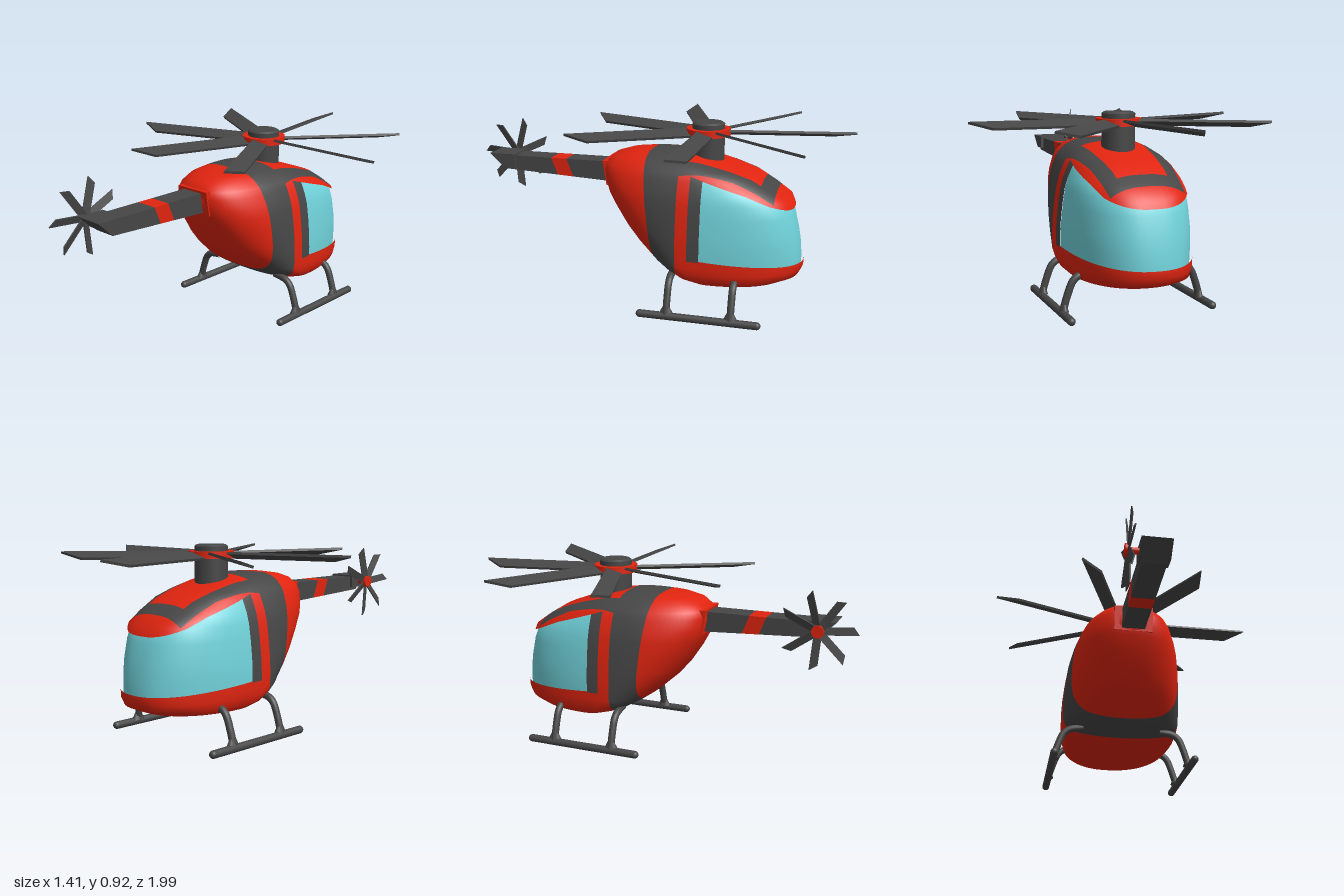
import * as THREE from 'three';

const mat = (name, color, side = THREE.FrontSide) => {
  const m = new THREE.MeshStandardMaterial({ color, side });
  m.name = name;
  return m;
};

// Horizontal slices of the cabin: y, nose z, rear z, half width, z of widest point, squareness
const SLICES = [
  [0.155, -0.44, -0.44, 0, -0.44, 2.2],
  [0.156, -0.62, -0.26, 0.22, -0.4, 2.2],
  [0.166, -0.70, -0.20, 0.265, -0.34, 2.2],
  [0.19, -0.757, -0.14, 0.29, -0.28, 2.3],
  [0.225, -0.775, -0.08, 0.302, -0.24, 2.3],
  [0.26, -0.777, -0.03, 0.307, -0.22, 2.3],
  [0.34, -0.77, 0.06, 0.307, -0.22, 2.4],
  [0.41, -0.757, 0.12, 0.303, -0.22, 2.5],
  [0.5, -0.735, 0.18, 0.293, -0.22, 2.6],
  [0.57, -0.705, 0.218, 0.282, -0.22, 2.7],
  [0.62, -0.635, 0.235, 0.268, -0.21, 2.7],
  [0.675, -0.545, 0.245, 0.245, -0.2, 2.7],
  [0.71, -0.45, 0.235, 0.225, -0.17, 2.6],
  [0.745, -0.34, 0.20, 0.185, -0.12, 2.5],
  [0.765, -0.26, 0.14, 0.145, -0.09, 2.4],
  [0.777, -0.19, 0.06, 0.10, -0.08, 2.2],
  [0.78, -0.08, -0.08, 0, -0.08, 2.2],
];

// Cabin skin as triangles whose corners are [x, y, z, nx, ny, nz]
function cabinTriangles(seg = 64) {
  const pos = [], idx = [], rows = SLICES.length;
  const pw = (v, n) => Math.sign(v) * Math.abs(v) ** (2 / n);
  for (const [y, zf, zb, w, zm, n] of SLICES)
    for (let i = 0; i < seg; i++) {
      const a = (i / seg) * Math.PI * 2, s = pw(Math.sin(a), n);
      pos.push(w * pw(Math.cos(a), n), y, zm + s * (s > 0 ? zb - zm : zm - zf));
    }
  for (let j = 0; j < rows - 1; j++)
    for (let i = 0; i < seg; i++) {
      const k = (i + 1) % seg, a = j * seg + i, b = a + seg, d = j * seg + k, c = d + seg;
      if (j < rows - 2) idx.push(a, b, c);
      if (j > 0) idx.push(a, c, d);
    }
  const g = new THREE.BufferGeometry();
  g.setAttribute('position', new THREE.Float32BufferAttribute(pos, 3));
  g.setIndex(idx);
  g.computeVertexNormals();
  const nor = g.attributes.normal;
  for (let i = 0; i < seg; i++) {
    nor.setXYZ(i, 0, -1, 0);
    nor.setXYZ((rows - 1) * seg + i, 0, 1, 0);
  }
  const vert = (i) => [...pos.slice(i * 3, i * 3 + 3), nor.getX(i), nor.getY(i), nor.getZ(i)];
  const tris = [];
  for (let i = 0; i < idx.length; i += 3) tris.push(idx.slice(i, i + 3).map(vert));
  return tris;
}

// Cut a polygon where f changes sign
function cut(poly, f) {
  const inside = [], outside = [];
  poly.forEach((a, i) => {
    const b = poly[(i + 1) % poly.length], fa = f(...a), fb = f(...b);
    (fa >= 0 ? inside : outside).push(a);
    if (fa >= 0 !== fb >= 0) {
      const m = a.map((v, k) => v + (b[k] - v) * (fa / (fa - fb)));
      inside.push(m);
      outside.push(m);
    }
  });
  return [inside, outside];
}

// Share polygons among paint regions; the last bucket holds the remainder
function paint(polys, regions) {
  const buckets = regions.map(() => []);
  let rest = polys;
  regions.forEach((planes, r) => {
    const next = [];
    for (let poly of rest) {
      for (const f of planes) {
        const [inn, out] = cut(poly, f);
        if (out.length > 2) next.push(out);
        poly = inn;
        if (poly.length < 3) break;
      }
      if (poly.length > 2) buckets[r].push(poly);
    }
    rest = next;
  });
  return [...buckets, rest];
}

function polysToGeometry(polys, inset = 0) {
  const p = [], n = [];
  for (const poly of polys)
    for (let i = 1; i < poly.length - 1; i++)
      for (const v of [poly[0], poly[i], poly[i + 1]]) {
        for (let k = 0; k < 3; k++) p.push(v[k] - v[k + 3] * inset);
        n.push(v[3], v[4], v[5]);
      }
  const g = new THREE.BufferGeometry();
  g.setAttribute('position', new THREE.Float32BufferAttribute(p, 3));
  g.setAttribute('normal', new THREE.Float32BufferAttribute(n, 3));
  return g;
}

// Side outline of [z, y] points, extruded across x
function prism(points, halfWidth) {
  const shape = new THREE.Shape(points.map(([z, y]) => new THREE.Vector2(z, y)));
  return new THREE.ExtrudeGeometry(shape, { depth: halfWidth * 2, bevelEnabled: false })
    .rotateY(-Math.PI / 2).translate(halfWidth, 0, 0);
}

// Pitched blade with a slanted tip, lying along +x
function bladeGeometry(root, tip, shortTip, halfWidth, thick) {
  const shape = new THREE.Shape([[root, -halfWidth], [tip, -halfWidth], [shortTip, halfWidth], [root, halfWidth]]
    .map(([x, y]) => new THREE.Vector2(x, y)));
  return new THREE.ExtrudeGeometry(shape, { depth: thick, bevelEnabled: false })
    .rotateX(-Math.PI / 2).translate(0, -thick / 2, 0).rotateX(-0.33);
}

export function createModel() {
  const model = new THREE.Group();
  model.name = 'helicopter';
  const red = mat('red paint', 0xe0240f), dark = mat('dark grey', 0x464646);
  const glass = mat('aqua glass', 0x70d2da, THREE.DoubleSide);
  const craft = new THREE.Group();
  craft.name = 'craft';
  craft.position.x = -0.017;
  model.add(craft);
  const add = (name, geo, material, parent = craft) => {
    const m = new THREE.Mesh(geo, material);
    m.name = name;
    parent.add(m);
    return m;
  };

  // Cabin paint regions
  const windowArea = (s) => [
    (x, y, z) => -0.305 + s - z,
    (x, y, z) => y + s - 0.298 - (z + 0.305) * 0.08,
    (x, y, z) => 0.68 + s + (z + 0.305) * 0.31 - y,
    (x, y, z) => 0.62 + s + (z + 0.5) * 0.42 - y,
  ];
  const frame = [
    (x, y, z) => -0.245 - z, (x, y, z) => z + 0.305,
    (x, y) => y - 0.293, (x, y, z) => 0.68 + (z + 0.305) * 0.31 - y,
  ];
  const band = [(x, y, z) => (y - 0.78) * 0.12 - z, (x, y, z) => z + 0.185];
  const roofPatch = (front, w, taper) => [
    (x, y, z) => -0.185 - z, (x, y, z) => z - front, (x, y) => y - 0.5,
    (x, y, z) => w + (z + 0.19) * taper - Math.abs(x),
  ];
  const skin = cabinTriangles();
  const [, frames, bands, roofCentre, roofStripe, shell] = paint(skin, [
    windowArea(0), frame, band, roofPatch(-0.57, 0.155, 0.08), roofPatch(-0.64, 0.232, 0.11),
  ]);
  add('cabinShell', polysToGeometry([...shell, ...roofCentre]), red);
  add('windowFrames', polysToGeometry(frames), dark);
  add('cabinBand', polysToGeometry(bands), dark);
  add('roofStripe', polysToGeometry(roofStripe), dark);
  add('canopyGlass', polysToGeometry(paint(skin, [windowArea(0.03)])[0], 0.013), glass);

  // Tail boom with a slanted red stripe
  const low = (z) => 0.6 + 0.05 * (z - 0.2), top = 0.703;
  const boom = (name, t0, t1, b0, b1, material) =>
    add(name, prism([[b0, low(b0)], [b1, low(b1)], [t1, top], [t0, top]], 0.058), material);
  boom('boomFront', 0.1, 0.455, 0.1, 0.42, dark);
  boom('boomStripe', 0.455, 0.54, 0.42, 0.505, red);
  boom('boomRear', 0.54, 0.86, 0.505, 0.79, dark);
  add('boomEnd', prism([[0.74, 0.645], [0.81, 0.645], [0.878, 0.711], [0.74, 0.711]], 0.072), dark);
  add('boomCollar', prism([[0.1, 0.59], [0.225, 0.59], [0.245, 0.715], [0.1, 0.715]], 0.097), red);

  // Rotors: seven blades, fifty degrees apart
  const addBlades = (parent, geo, start) => {
    for (let k = 0; k < 7; k++)
      add('blade', geo, dark, parent).rotation.y = start + THREE.MathUtils.degToRad(50 * k);
  };
  const mainRotor = new THREE.Group();
  mainRotor.name = 'mainRotor';
  mainRotor.position.set(0, 0, -0.28);
  craft.add(mainRotor);
  add('mast', new THREE.CylinderGeometry(0.081, 0.081, 0.17, 32).translate(0, 0.785, 0), dark, mainRotor);
  add('hub', new THREE.CylinderGeometry(0.11, 0.11, 0.034, 32).translate(0, 0.877, 0), red, mainRotor);
  add('hubCap', new THREE.CylinderGeometry(0.081, 0.081, 0.025, 32).translate(0, 0.905, 0), dark, mainRotor);
  add('hubCapTop', new THREE.CylinderGeometry(0.07, 0.081, 0.008, 32).translate(0, 0.921, 0), dark, mainRotor);
  const blades = new THREE.Group();
  blades.name = 'mainBlades';
  blades.position.y = 0.874;
  mainRotor.add(blades);
  addBlades(blades, bladeGeometry(0.09, 0.718, 0.62, 0.04, 0.012), 0);

  const tailRotor = new THREE.Group();
  tailRotor.name = 'tailRotor';
  tailRotor.position.set(-0.118, 0.677, 0.805);
  tailRotor.rotation.z = Math.PI / 2;
  craft.add(tailRotor);
  add('tailShaft', new THREE.CylinderGeometry(0.015, 0.015, 0.08, 16).translate(0, -0.025, 0), red, tailRotor);
  add('tailHub', new THREE.CylinderGeometry(0.03, 0.03, 0.016, 20).translate(0, 0.01, 0), red, tailRotor);
  addBlades(tailRotor, bladeGeometry(0.015, 0.192, 0.165, 0.019, 0.006), THREE.MathUtils.degToRad(-235));

  // Landing skids, mirrored
  for (const s of [1, -1]) {
    const side = s > 0 ? 'left' : 'right';
    add(side + 'Skid', new THREE.CapsuleGeometry(0.019, 0.58, 8, 16).rotateX(Math.PI / 2)
      .translate(s * 0.353, 0.02, -0.314), dark);
    for (const z of [-0.157, -0.475]) {
      const path = new THREE.CatmullRomCurve3([[0.2, 0.205], [0.27, 0.193], [0.3, 0.17], [0.326, 0.11], [0.353, 0.02]]
        .map(([x, y]) => new THREE.Vector3(s * x, y, z)));
      add(side + 'Strut', new THREE.TubeGeometry(path, 20, 0.018, 12), dark);
      add(side + 'StrutFoot', new THREE.CylinderGeometry(0.018, 0.036, 0.035, 16).scale(0.6, 1, 1)
        .translate(s * 0.345, 0.047, z), dark);
    }
  }
  return model;
}
